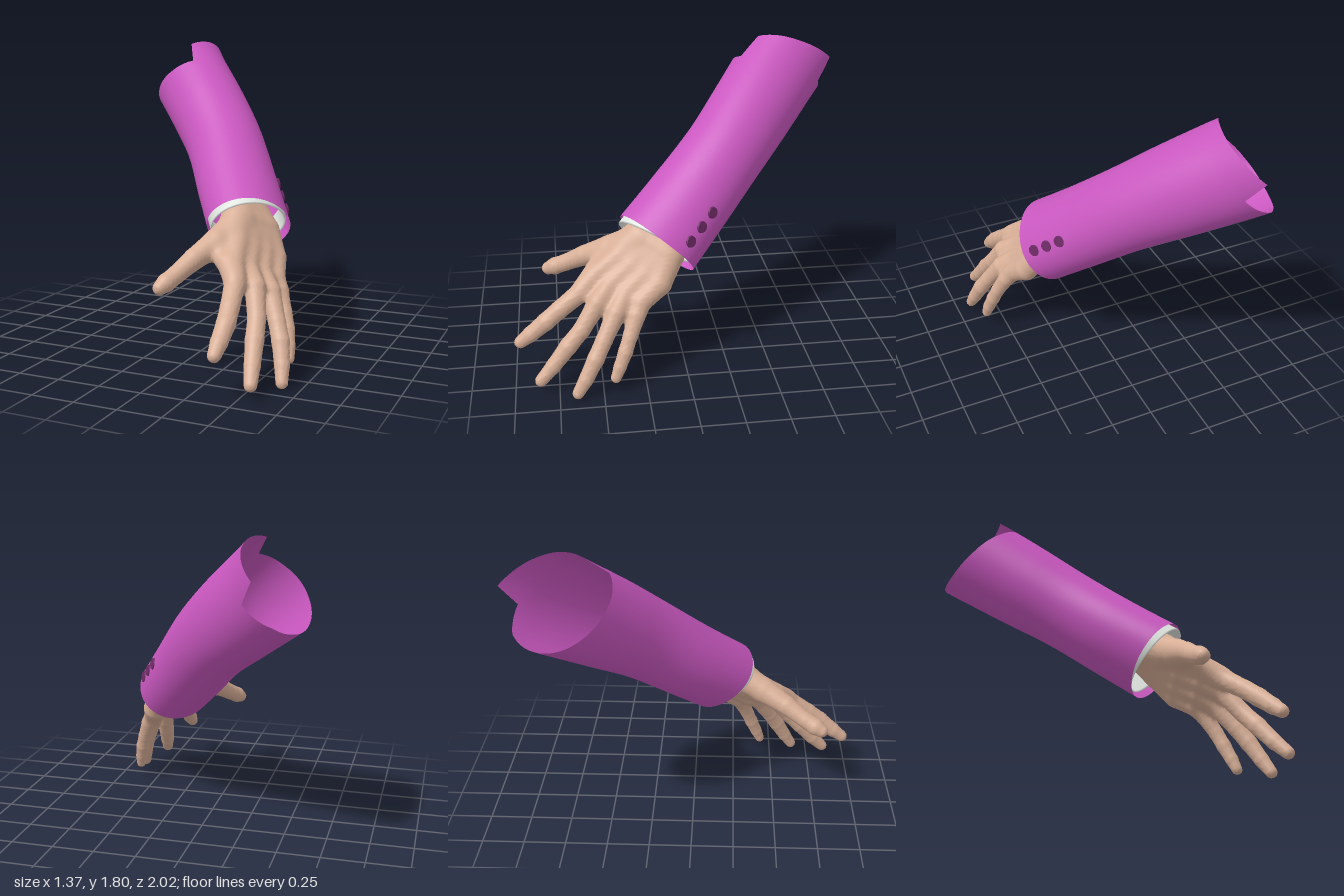
import * as THREE from 'three';

const V = (x, y, z) => new THREE.Vector3(x, y, z);
const mat = (name, color, side = THREE.FrontSide) => {
  const m = new THREE.MeshStandardMaterial({ color, side });
  m.name = name;
  return m;
};

function build(pos, idx) {
  const g = new THREE.BufferGeometry();
  g.setAttribute('position', new THREE.Float32BufferAttribute(pos, 3));
  g.setIndex(idx);
  g.computeVertexNormals();
  return g;
}

// Surface of closed rings: point(i, j) gives corner j of ring i.
function rings(rows, cols, point) {
  const pos = [], idx = [];
  for (let i = 0; i < rows; i++) {
    for (let j = 0; j < cols; j++) {
      pos.push(...point(i, j).toArray());
      if (i === rows - 1) continue;
      const a = i * cols + j, b = i * cols + (j + 1) % cols;
      idx.push(a, b, b + cols, a, b + cols, a + cols);
    }
  }
  return build(pos, idx);
}

// Lookup with interpolation: each row is [key, ...values].
function table(rows, Kind = THREE.CubicInterpolant) {
  const n = rows[0].length - 1;
  const it = new Kind(rows.map(r => r[0]), rows.flatMap(r => r.slice(1)), n, new Float32Array(n));
  return t => it.evaluate(t);
}

// Blend of two distances with a soft crease of width k.
function blend(a, b, k) {
  const h = Math.max(0, k - Math.abs(a - b)) / k;
  return Math.min(a, b) - h * h * k / 4;
}

// Distance from a point to a tapered bone between joints [x, y, z, radius].
function bone(x, y, z, a, b) {
  const bx = b[0] - a[0], by = b[1] - a[1], bz = b[2] - a[2];
  const px = x - a[0], py = y - a[1], pz = z - a[2];
  const t = Math.min(1, Math.max(0, (px * bx + py * by + pz * bz) / (bx * bx + by * by + bz * bz)));
  return Math.hypot(px - bx * t, py - by * t, pz - bz * t) - a[3] - (b[3] - a[3]) * t;
}

// One smooth skin around chains of joints, meshed on a grid of cell size h.
function skinOver(chains, min, max, h, softness) {
  const n = min.map((m, i) => Math.ceil((max[i] - m) / h) + 1);
  const step = [1, n[0], n[0] * n[1]];
  const field = new Float32Array(n[0] * n[1] * n[2]);
  const each = (from, cut, fn) => {
    for (let k = from; k < n[2] - cut; k++)
      for (let j = from; j < n[1] - cut; j++)
        for (let i = from; i < n[0] - cut; i++) fn(i + j * step[1] + k * step[2], [i, j, k]);
  };
  each(0, 0, (p, c) => {
    const [x, y, z] = c.map((v, i) => min[i] + v * h);
    let d = 1;
    for (const chain of chains) {
      let e = 1;
      for (let s = 1; s < chain.length; s++) e = blend(e, bone(x, y, z, chain[s - 1], chain[s]), 0.008);
      d = blend(d, e, softness);
    }
    field[p] = d;
  });
  const pos = [], idx = [], id = new Int32Array(field.length);
  const corners = [0, 1, 2, 3, 4, 5, 6, 7].map(q => (q & 1) * step[0] + (q >> 1 & 1) * step[1] + (q >> 2) * step[2]);
  // One vertex per crossed cell
  each(0, 1, (p, c) => {
    const sum = [0, 0, 0];
    let hits = 0;
    for (let q = 0; q < 8; q++) for (let ax = 0; ax < 3; ax++) {
      if (q >> ax & 1) continue;
      const a = field[p + corners[q]], b = field[p + corners[q] + step[ax]];
      if ((a < 0) === (b < 0)) continue;
      for (let i = 0; i < 3; i++) sum[i] += (q >> i & 1) + (i === ax ? a / (a - b) : 0);
      hits++;
    }
    if (!hits) return;
    id[p] = pos.length / 3;
    pos.push(...c.map((v, i) => min[i] + (v + sum[i] / hits) * h));
  });
  // One quad per crossed grid edge
  each(1, 1, p => {
    for (let ax = 0; ax < 3; ax++) {
      const inside = field[p] < 0;
      if (inside === field[p + step[ax]] < 0) continue;
      const u = step[(ax + 1) % 3], v = step[(ax + 2) % 3];
      const [a, b, c, d] = [p - u - v, p - v, p, p - u].map(q => id[q]);
      idx.push(...(inside ? [a, b, c, a, c, d] : [a, c, b, a, d, c]));
    }
  });
  return build(pos, idx);
}

export function createModel() {
  const model = new THREE.Group();
  const purple = mat('sleeve purple', 0xca58c0, THREE.DoubleSide);
  const dark = mat('button plum', 0x6e2b66);
  const white = mat('cuff white', 0xe0e5e0, THREE.DoubleSide);
  const skin = mat('skin', 0xd8af97);
  const add = (parent, name, g, m) => {
    const mesh = new THREE.Mesh(g, m);
    mesh.name = name;
    parent.add(mesh);
    return mesh;
  };

  // Forearm frame: z runs down the arm and ends at the cuff opening
  const axis = V(0.553, -0.56, 0.617).normalize();
  const up = V(0, 1, 0).addScaledVector(axis, -axis.y).normalize();
  const across = axis.clone().cross(up);
  const arm = new THREE.Group();
  arm.name = 'forearm';
  arm.quaternion.setFromRotationMatrix(new THREE.Matrix4().makeBasis(up, across, axis));
  arm.position.set(0.255, 0.765, 0.165);
  model.add(arm);

  // Sleeve sections: [z, centre x, centre y, radius x, radius y, diagonal stretch]
  const section = table([
    [-1.4, 0.005, -0.012, 0.28, 0.253, 0.03],
    [-1.0, 0.014, -0.042, 0.264, 0.245, 0.02],
    [-0.69, 0.016, -0.054, 0.245, 0.24, 0.02],
    [-0.3, 0, -0.032, 0.235, 0.246, 0.05],
    [0.1, -0.01, -0.006, 0.23, 0.247, 0.1],
  ]);
  const onSleeve = (a, z, grow = 0) => {
    const [cx, cy, rx, ry, q] = section(z);
    const s = 1 + q * Math.cos(2 * (a - 0.82));
    return V(cx + (rx * s + grow) * Math.cos(a), cy + (ry * s + grow) * Math.sin(a), z);
  };
  const hem = a => 0.002 + 0.038 * Math.cos(a + 0.9);

  // Slanted upper edge with its raised flap: [degrees, offset]
  const edge = table([
    [10, 0.007], [20, 0.175], [53, 0.155], [100, 0.095], [142, 0.03], [180, -0.04],
    [210, -0.075], [250, -0.045], [260, -0.205], [315, -0.09], [370, 0.007],
  ], THREE.LinearInterpolant);
  const ROWS = 32, COLS = 72;
  add(arm, 'sleeve', rings(ROWS, COLS, (i, j) => {
    const deg = j * 360 / COLS, a = THREE.MathUtils.degToRad(deg);
    const top = -1.4 + edge(deg < 10 ? deg + 360 : deg)[0];
    return onSleeve(a, THREE.MathUtils.lerp(top, hem(a), i / (ROWS - 1)));
  }), purple);

  // Shirt cuff: outer wall, rim and inner wall, showing most on the thumb side
  const cuff = [[-0.13, -0.016], [-0.01, -0.016], [0, -0.021], [-0.01, -0.027], [-0.13, -0.027]];
  add(arm, 'shirtCuff', rings(cuff.length, 60, (i, j) => {
    const a = j / 60 * Math.PI * 2;
    return onSleeve(a, hem(a) + cuff[i][0] + 0.04 * Math.cos(a - 1.1), cuff[i][1]);
  }), white);

  // Flat buttons along the outer seam
  const seam = THREE.MathUtils.degToRad(-78);
  for (let i = 0; i < 3; i++) {
    const b = add(arm, 'button', new THREE.CylinderGeometry(0.032, 0.035, 0.01, 20), dark);
    b.position.copy(onSleeve(seam, -0.06 - i * 0.106, 0.003));
    b.quaternion.setFromUnitVectors(V(0, 1, 0), V(Math.cos(seam), Math.sin(seam), 0));
  }

  // Fingers, knuckle to tip: [x, y, z, radius]
  const fingers = [
    [[0.362, 0.525, 0.6, 0.058], [0.388, 0.43, 0.73, 0.052], [0.4, 0.365, 0.81, 0.052],
      [0.4, 0.29, 0.9, 0.046], [0.401, 0.242, 0.962, 0.037]],
    [[0.442, 0.495, 0.51, 0.057], [0.492, 0.35, 0.61, 0.05], [0.512, 0.26, 0.69, 0.051],
      [0.535, 0.15, 0.78, 0.044], [0.555, 0.073, 0.853, 0.036]],
    [[0.495, 0.45, 0.41, 0.055], [0.562, 0.31, 0.49, 0.048], [0.602, 0.22, 0.54, 0.049],
      [0.633, 0.11, 0.6, 0.042], [0.65, 0.032, 0.648, 0.034]],
    [[0.505, 0.43, 0.295, 0.05], [0.552, 0.32, 0.34, 0.042], [0.578, 0.24, 0.37, 0.042],
      [0.6, 0.155, 0.405, 0.037], [0.612, 0.092, 0.43, 0.031]],
  ];
  // Palm stations, wrist to knuckles: [x, y, z, spread, radius]
  const palm = [
    [0.213, 0.838, 0.1, 0.068, 0.09],
    [0.28, 0.757, 0.168, 0.105, 0.086],
    [0.345, 0.633, 0.268, 0.142, 0.073],
    [0.388, 0.55, 0.385, 0.153, 0.06],
  ];
  const side = V(-0.5, 0.4, 0.77);
  const chains = fingers.map((finger, f) => {
    const s = 1 - f * 2 / 3;
    return [...palm.map(([x, y, z, w, r]) =>
      [x + side.x * w * s, y + side.y * w * s, z + side.z * w * s, r]), ...finger];
  });
  // Thumb, and the web between thumb and first finger
  chains.push(
    [[0.23, 0.78, 0.25, 0.085], [0.18, 0.7, 0.42, 0.078], [0.108, 0.63, 0.565, 0.06],
      [0.053, 0.562, 0.68, 0.05], [0.024, 0.528, 0.745, 0.051], [0.008, 0.508, 0.785, 0.04]],
    [[0.18, 0.685, 0.43, 0.055], [0.26, 0.62, 0.52, 0.045], [0.345, 0.555, 0.58, 0.045]],
  );
  add(model, 'hand', skinOver(chains, [-0.08, -0.04, -0.08], [0.74, 1, 1.04], 0.0125, 0.04), skin);
  return model;
}
